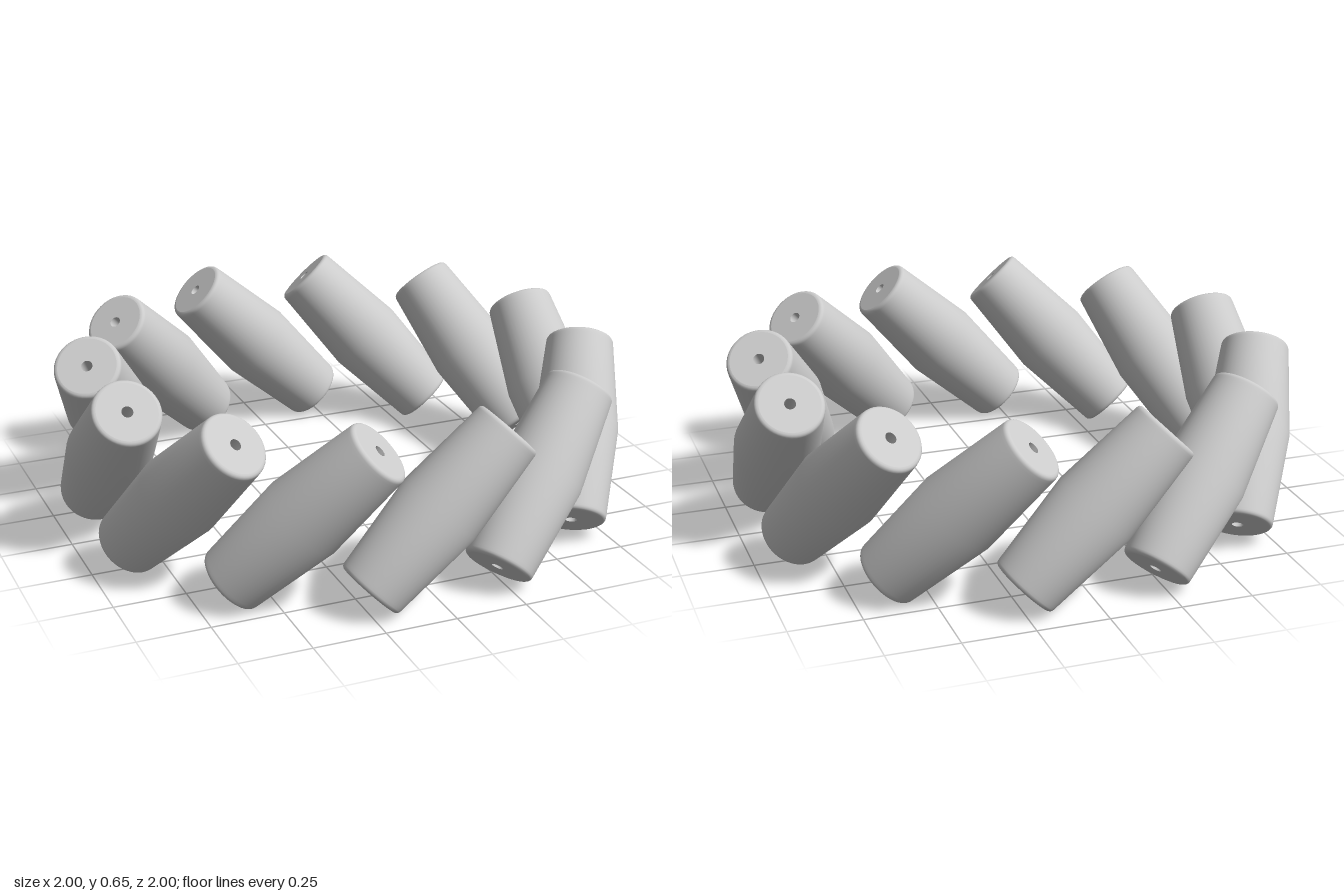
import * as THREE from 'three';
import { mergeGeometries } from 'three/addons/utils/BufferGeometryUtils.js';

const COUNT = 12;          // rollers around the ring
const RING = 0.85;         // ring radius to the roller centres
const MID_Y = 0.323;
const HALF = 0.345;        // half length of a roller
const R_MID = 0.15, R_END = 0.12, R_BORE = 0.02, BEVEL = 0.015;

// Double-tapered barrel with rounded rims, flat ends and a bore along its axis
function rollerGeometry() {
  const upper = [[R_MID, 0], [R_END + 0.001, HALF - BEVEL - 0.01]];
  for (let i = 0; i <= 4; i++) {
    const a = (i / 4) * Math.PI / 2;
    upper.push([R_END - BEVEL + BEVEL * Math.cos(a), HALF - BEVEL + BEVEL * Math.sin(a)]);
  }
  const lower = upper.slice(1).reverse().map(([r, y]) => [r, -y]);
  const rim = R_END - BEVEL;

  // Separate strips keep the edges of the ends and the bore sharp
  const strips = [
    [[R_BORE, -HALF], [rim, -HALF]],
    [...lower, ...upper],
    [[rim, HALF], [R_BORE, HALF]],
    [[R_BORE, HALF], [R_BORE, -HALF]],
  ];
  return mergeGeometries(strips.map(points =>
    new THREE.LatheGeometry(points.map(([r, y]) => new THREE.Vector2(r, y)), 48)));
}

export function createModel() {
  const model = new THREE.Group();
  model.name = 'rollerRing';
  const material = new THREE.MeshStandardMaterial({ color: 0xcccccc });

  // Each roller leans 45 degrees along the ring
  const geometry = rollerGeometry();
  geometry.rotateZ(-Math.PI / 4);
  geometry.translate(0, MID_Y, RING);

  for (let i = 0; i < COUNT; i++) {
    const roller = new THREE.Mesh(geometry, material);
    roller.name = `roller${i + 1}`;
    roller.rotation.y = (i / COUNT) * Math.PI * 2;
    model.add(roller);
  }
  return model;
}
